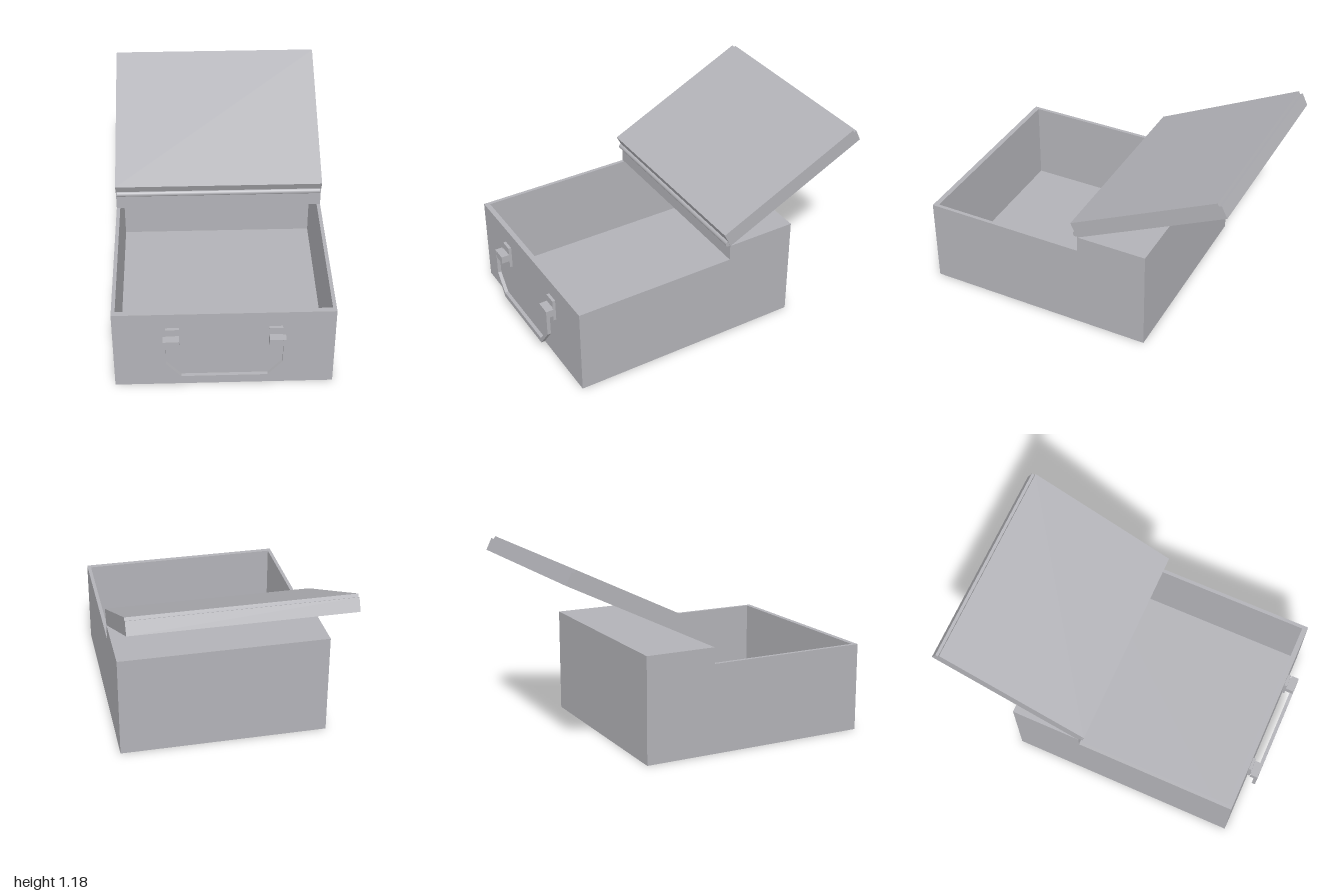
import * as THREE from 'three';

const HALF = 0.645;   // half width of the case
const WALL = 0.022;   // side wall thickness
const END = 0.032;    // front and back wall thickness
const FRONT = 0.93, BACK = -0.52, STEP = -0.08;

export function createModel() {
  const model = new THREE.Group();
  model.name = 'openCase';
  const grey = new THREE.MeshStandardMaterial({ color: 0xb2b2b7 });
  grey.name = 'grey';

  const add = (parent, name, geometry) => {
    const mesh = new THREE.Mesh(geometry, grey);
    mesh.name = name;
    parent.add(mesh);
    return mesh;
  };
  // box given by its limits on each axis
  const box = (parent, name, [x0, x1], [y0, y1], [z0, z1]) => {
    const mesh = add(parent, name, new THREE.BoxGeometry(x1 - x0, y1 - y0, z1 - z0));
    mesh.position.set((x0 + x1) / 2, (y0 + y1) / 2, (z0 + z1) / 2);
    return mesh;
  };
  const shapeOf = (points) => new THREE.Shape(points.map(([x, y]) => new THREE.Vector2(x, y)));

  // body: stepped side walls, with panels fitted between them
  const body = new THREE.Group();
  body.name = 'body';
  model.add(body);
  const side = new THREE.ExtrudeGeometry(shapeOf([
    [-FRONT, 0], [-BACK, 0], [-BACK, 0.65], [-STEP, 0.65], [-STEP, 0.55], [-FRONT, 0.55],
  ]), { depth: WALL, bevelEnabled: false });
  side.rotateY(Math.PI / 2); // profile x becomes -z, depth becomes +x
  add(body, 'leftWall', side).position.x = HALF - WALL;
  add(body, 'rightWall', side).position.x = -HALF;
  const inner = [-HALF + WALL, HALF - WALL];
  box(body, 'floor', inner, [0, 0.03], [BACK, FRONT]);
  box(body, 'frontWall', inner, [0.03, 0.55], [FRONT - END, FRONT]);
  box(body, 'backWall', inner, [0.03, 0.62], [BACK, BACK + END]);
  box(body, 'rearDeck', inner, [0.62, 0.65], [BACK, STEP]);
  box(body, 'stepPanel', inner, [0.55, 0.62], [STEP - 0.025, STEP]);

  // hinge rod
  const hinge = add(model, 'hinge', new THREE.CylinderGeometry(0.018, 0.018, 1.28, 24));
  hinge.rotation.z = Math.PI / 2;
  hinge.position.set(0, 0.667, -0.07);

  // lid, tilted back about its lower front edge
  const lid = new THREE.Group();
  lid.name = 'lid';
  lid.position.set(0, 0.65, -0.083);
  lid.rotation.x = THREE.MathUtils.degToRad(26);
  model.add(lid);
  box(lid, 'lidSlab', [-HALF, HALF], [0, 0.08], [-1.018, 0]);
  box(lid, 'lidInnerPanel', [-HALF, HALF], [0.08, 0.1], [-1.0, 0]);

  // handle mounts, mirrored
  const handle = new THREE.Group();
  handle.name = 'handle';
  model.add(handle);
  for (const s of [-1, 1]) {
    const span = (a, b) => (s > 0 ? [a, b] : [-b, -a]);
    box(handle, 'mountPlate', span(0.26, 0.338), [0.305, 0.447], [FRONT, 0.948]);
    box(handle, 'mountBlock', span(0.26, 0.338), [0.352, 0.4], [0.948, 0.998]);
    box(handle, 'handleTab', span(0.338, 0.355), [0.352, 0.4], [0.952, 1.0]);
  }

  // flat angular bail hanging from the mounts
  const outer = [[0.355, 0.352], [0.355, 0.23], [0.256, 0.097]];
  const inside = [[0.338, 0.352], [0.338, 0.232], [0.252, 0.13]];
  const mirror = (pts) => pts.map(([x, y]) => [-x, y]).reverse();
  const outline = [...outer, ...mirror(outer), ...mirror(inside).reverse(), ...inside.slice().reverse()];
  // walk the outer edge from left to right, then back along the inner edge
  outline.splice(6, 6, ...[...inside, ...mirror(inside)].reverse());
  const bail = add(handle, 'bail', new THREE.ExtrudeGeometry(shapeOf(outline), { depth: 0.022, bevelEnabled: false }));
  bail.position.z = 0.978;

  return model;
}
